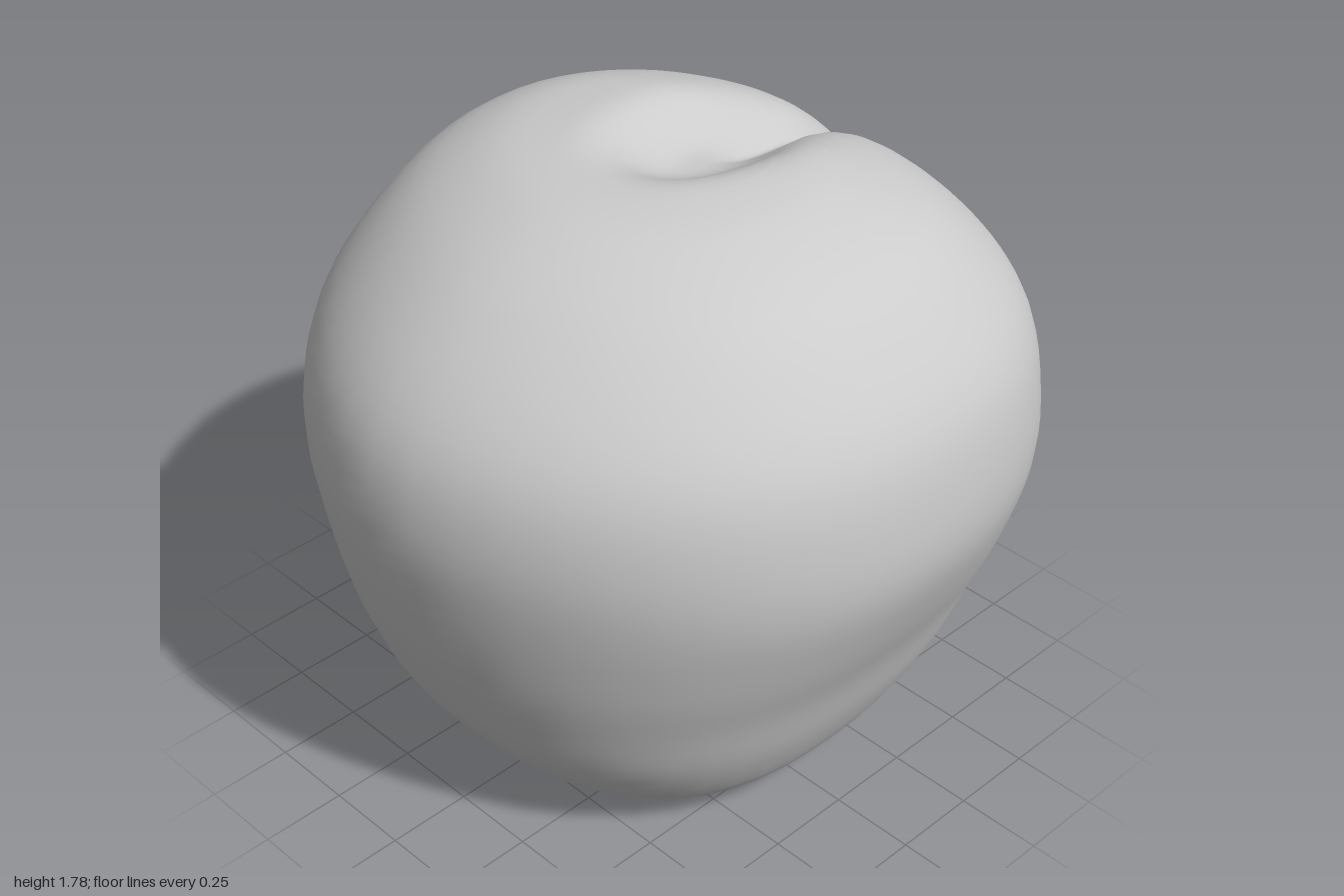
import * as THREE from 'three';
import { mergeVertices } from 'three/addons/utils/BufferGeometryUtils.js';

const ROWS = 64, COLS = 80;
const AXIS_Z = -0.08; // the widest line lies a little behind the middle

// Each level: height, then reach to -x, +x, front (+z) and back (-z)
const LEVELS = [
  [0.02, 0.001, 0.001, -0.079, 0.081],
  [0.01, 0.2, 0.17, 0.06, 0.19],
  [0.005, 0.4, 0.34, 0.2, 0.3],
  [0.015, 0.53, 0.46, 0.35, 0.38],
  [0.05, 0.61, 0.55, 0.5, 0.49],
  [0.12, 0.69, 0.64, 0.62, 0.63],
  [0.3, 0.775, 0.735, 0.755, 0.81],
  [0.5, 0.84, 0.81, 0.85, 0.92],
  [0.7, 0.91, 0.9, 0.925, 0.98],
  [0.92, 0.965, 0.975, 0.98, 1.01],
  [1.13, 0.985, 0.98, 1.0, 0.995],
  [1.33, 0.935, 0.94, 0.96, 0.945],
  [1.5, 0.835, 0.835, 0.84, 0.835],
  [1.66, 0.7, 0.68, 0.64, 0.65],
  [1.755, 0.52, 0.46, 0.43, 0.42],
  [1.785, 0.33, 0.3, 0.26, 0.3],
  [1.8, 0.16, 0.15, 0.1, 0.19],
  [1.8, 0.001, 0.001, -0.079, 0.081],
];

const frontRight = new THREE.CatmullRomCurve3(
  LEVELS.map(([y, , xr, zf]) => new THREE.Vector3(xr, y, zf - AXIS_Z)), false, 'catmullrom');
const backLeft = new THREE.CatmullRomCurve3(
  LEVELS.map(([y, xl, , , zb]) => new THREE.Vector3(xl, y, zb + AXIS_Z)), false, 'catmullrom');

// Point on the plain rounded body, squarer towards the back and the foot
function bodyPoint(v, angle) {
  const p = frontRight.getPoint(v), q = backLeft.getPoint(v);
  const s = Math.sin(angle), c = Math.cos(angle);
  const a = Math.max(s > 0 ? p.x : q.x, 0.001), b = Math.max(c > 0 ? p.z : q.z, 0.001);
  const foot = 1 - THREE.MathUtils.smoothstep(p.y, 0.2, 0.95);
  const n = 2.12 - 0.27 * c + 0.1 * s + 0.4 * foot;
  const r = (Math.abs(s / a) ** n + Math.abs(c / b) ** n) ** (-1 / n);
  return new THREE.Vector3(r * s, p.y, AXIS_Z + r * c);
}

// Presses in the seam down the back, the stem hollow and the valley underneath
function sculpt(p) {
  const low = THREE.MathUtils.clamp(1 - p.y, 0, 1);
  const side = Math.hypot(p.x - 0.015, 0.02) - 0.02;
  const fade = THREE.MathUtils.smoothstep(-p.z, 0.15, 0.6);
  const depth = (0.085 + 0.045 * low) * fade * Math.exp(-side / (0.055 + 0.045 * low));
  const inward = new THREE.Vector3(0, 0.9, 0).sub(p).normalize();
  const q = (p.x / 0.18) ** 2 + ((p.z + 0.2) / 0.28) ** 2;
  const hollow = p.y > 1.2 ? 0.12 * Math.exp(-(q ** 1.5)) : 0;
  const valley = 0.025 * Math.exp(-((p.x / 0.22) ** 2) - p.y / 0.1);
  p.addScaledVector(inward, depth);
  p.y += valley - hollow;
  return p;
}

function fruitGeometry() {
  const positions = [], index = [];
  for (let i = 0; i <= ROWS; i++) {
    for (let j = 0; j < COLS; j++) {
      // Columns crowd together around the seam at the back
      const t = (j / COLS) * Math.PI * 2;
      const angle = Math.PI + t - 0.7 * Math.sin(t);
      positions.push(...sculpt(bodyPoint(i / ROWS, angle)).toArray());
      if (i === ROWS) continue;
      const k = (j + 1) % COLS;
      const a = i * COLS + j, b = i * COLS + k;
      index.push(a, b, b + COLS, a, b + COLS, a + COLS);
    }
  }
  let geometry = new THREE.BufferGeometry();
  geometry.setAttribute('position', new THREE.Float32BufferAttribute(positions, 3));
  geometry.setIndex(index);
  geometry = mergeVertices(geometry, 0.003);
  geometry.computeVertexNormals();
  return geometry;
}

export function createModel() {
  const group = new THREE.Group();
  group.name = 'peach';
  const fruit = new THREE.Mesh(fruitGeometry(), new THREE.MeshStandardMaterial({ color: 0xcccccc }));
  fruit.name = 'fruitBody';
  group.add(fruit);
  return group;
}
